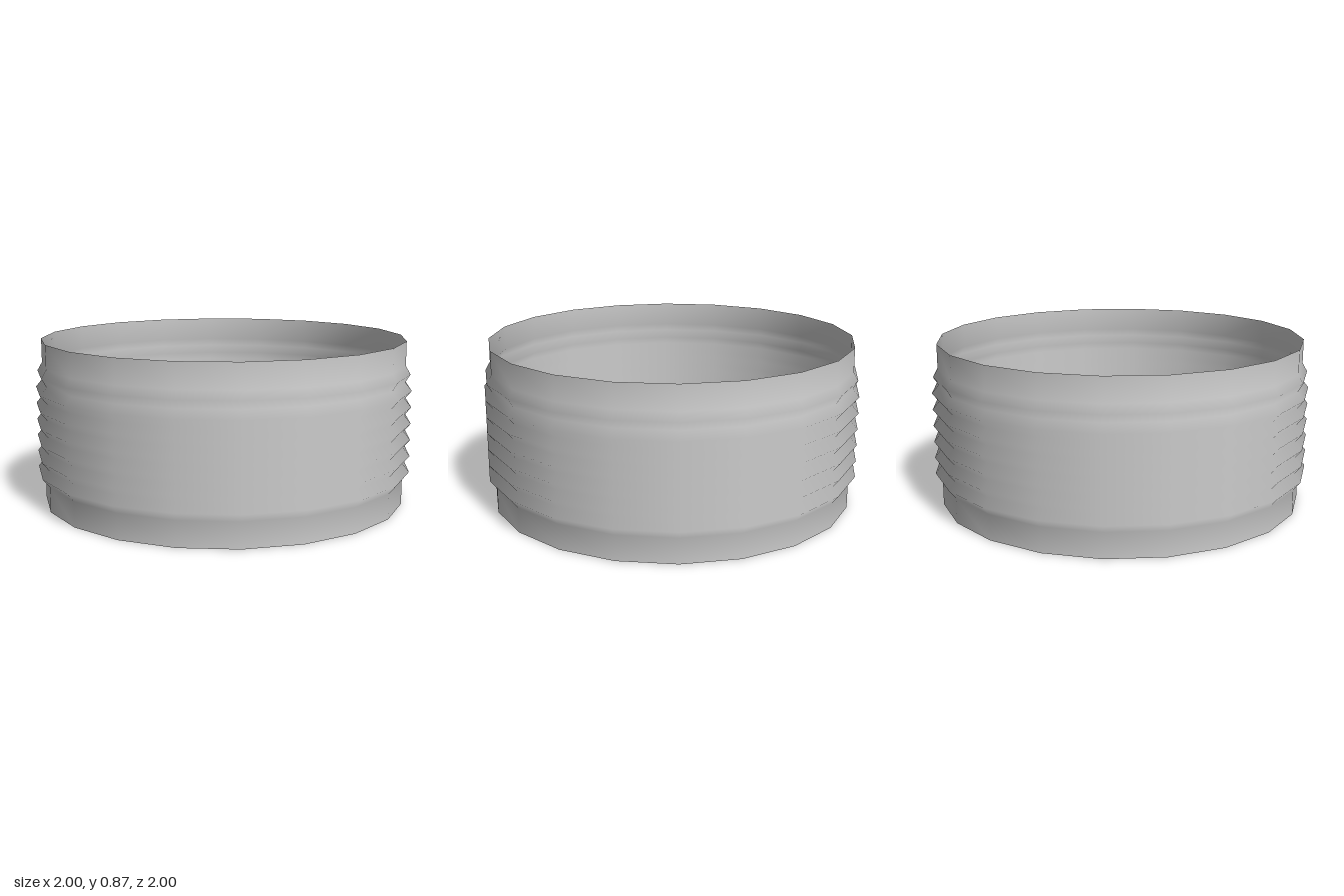
import * as THREE from 'three';

const SIDES = 20;
const RADIUS = 0.965;
const HEIGHT = 0.865;

export function createModel() {
  const group = new THREE.Group();
  group.name = 'ribbedTub';
  const material = new THREE.MeshStandardMaterial({ color: 0xcccccc, side: THREE.DoubleSide });

  // Thin wall: plain bands at both ends, seven pointed ribs between
  const ribs = 7, pitch = 0.0865, start = 0.132;
  const profile = [new THREE.Vector2(RADIUS, 0), new THREE.Vector2(RADIUS, start)];
  for (let i = 0; i < ribs; i++) {
    const y = start + i * pitch;
    profile.push(new THREE.Vector2(i === ribs - 1 ? 0.99 : 1, y + pitch / 2));
    profile.push(new THREE.Vector2(RADIUS, y + pitch));
  }
  profile.push(new THREE.Vector2(RADIUS, HEIGHT));
  const wall = new THREE.Mesh(new THREE.LatheGeometry(profile, SIDES), material);
  wall.name = 'ribbedWall';
  group.add(wall);

  // Flat floor closing the bottom, open at the top
  const floor = new THREE.Mesh(new THREE.CircleGeometry(RADIUS, SIDES).rotateX(Math.PI / 2), material);
  floor.name = 'floor';
  group.add(floor);

  return group;
}
